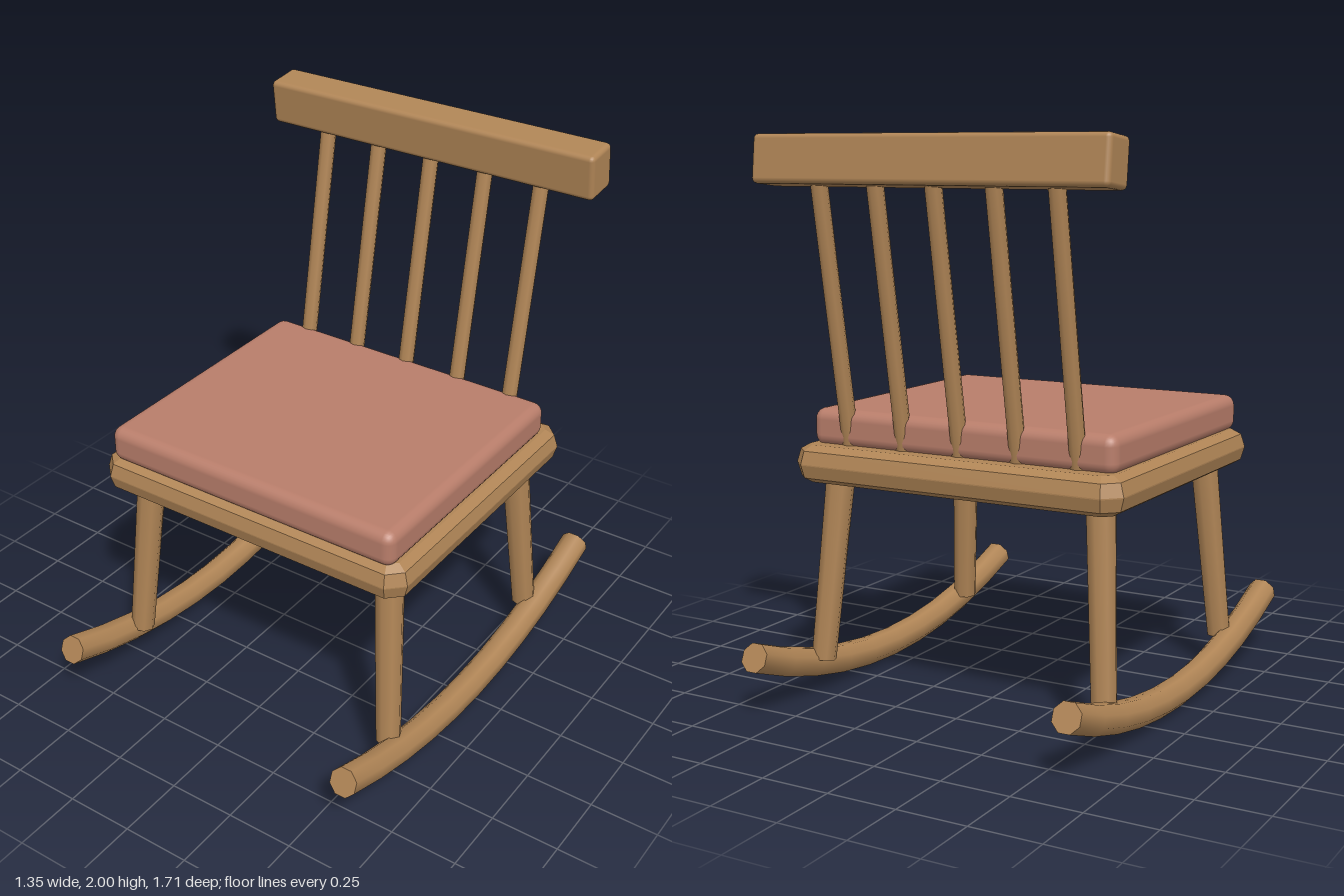
import * as THREE from 'three';
import { RoundedBoxGeometry } from 'three/addons/geometries/RoundedBoxGeometry.js';

const wood = new THREE.MeshStandardMaterial({ color: 0xb08556 });
const woodFlat = new THREE.MeshStandardMaterial({ color: 0xb08556, flatShading: true });
const fabric = new THREE.MeshStandardMaterial({ color: 0xb87d6a });

// Tapered round bar between two points
function bar(name, from, to, rFrom, rTo) {
  const a = new THREE.Vector3(...from), b = new THREE.Vector3(...to);
  const mesh = new THREE.Mesh(new THREE.CylinderGeometry(rTo, rFrom, a.distanceTo(b), 8), wood);
  mesh.name = name;
  mesh.position.copy(a).lerp(b, 0.5);
  mesh.quaternion.setFromUnitVectors(new THREE.Vector3(0, 1, 0), b.sub(a).normalize());
  return mesh;
}

// Round rod along z, bent into a shallow upward arc
function rockerGeometry() {
  const radius = 0.054, curve = 0.24;
  const geo = new THREE.CylinderGeometry(radius, radius, 1.67, 8, 10).rotateY(Math.PI / 8).rotateX(Math.PI / 2);
  const p = geo.attributes.position;
  for (let i = 0; i < p.count; i++) {
    const y = p.getY(i), z = p.getZ(i), angle = Math.atan(2 * curve * z);
    p.setY(i, 0.052 + curve * z * z + y * Math.cos(angle));
    p.setZ(i, z - y * Math.sin(angle));
  }
  geo.computeVertexNormals();
  return geo;
}

// Slab with chamfered corners and a faceted rim
function seatGeometry() {
  const w = 0.598, d = 0.53, c = 0.03;
  const outline = [[w, -d + c], [w, d - c], [w - c, d], [-w + c, d], [-w, d - c], [-w, -d + c], [-w + c, -d], [w - c, -d]];
  const shape = new THREE.Shape(outline.map(([x, y]) => new THREE.Vector2(x, y)));
  return new THREE.ExtrudeGeometry(shape, {
    depth: 0.004, bevelThickness: 0.065, bevelSize: 0.045, bevelSegments: 2,
  }).rotateX(-Math.PI / 2).center();
}

export function createModel() {
  const model = new THREE.Group();
  model.name = 'rockingChair';
  const add = (name, geo, material, x, y, z) => {
    const mesh = new THREE.Mesh(geo, material);
    mesh.name = name;
    mesh.position.set(x, y, z);
    model.add(mesh);
    return mesh;
  };

  // Seat and cushion
  add('seat', seatGeometry(), woodFlat, 0, 0.853, 0);
  add('cushion', new RoundedBoxGeometry(1.195, 0.135, 1.04, 3, 0.04), fabric, 0, 0.977, 0.03);

  // Rockers and splayed legs
  const rocker = rockerGeometry();
  for (const side of [1, -1]) {
    const label = side > 0 ? 'left' : 'right';
    add(label + 'Rocker', rocker, wood, side * 0.607, 0, 0);
    for (const end of [1, -1]) {
      model.add(bar(label + (end > 0 ? 'Front' : 'Back') + 'Leg',
        [side * 0.565, 0.13, end * 0.49], [side * 0.515, 0.85, end * 0.425], 0.045, 0.053));
    }
  }

  // Leaning back spindles
  for (let i = -2; i <= 2; i++) {
    const x = i * 0.226;
    model.add(bar('backSpindle', [x, 0.88, -0.452], [x, 1.9, -0.627], 0.03, 0.03));
  }

  // Top rail
  const rail = add('topRail', new RoundedBoxGeometry(1.345, 0.167, 0.14, 2, 0.018), wood, 0, 1.911, -0.628);
  rail.rotation.x = 0.11;

  return model;
}
